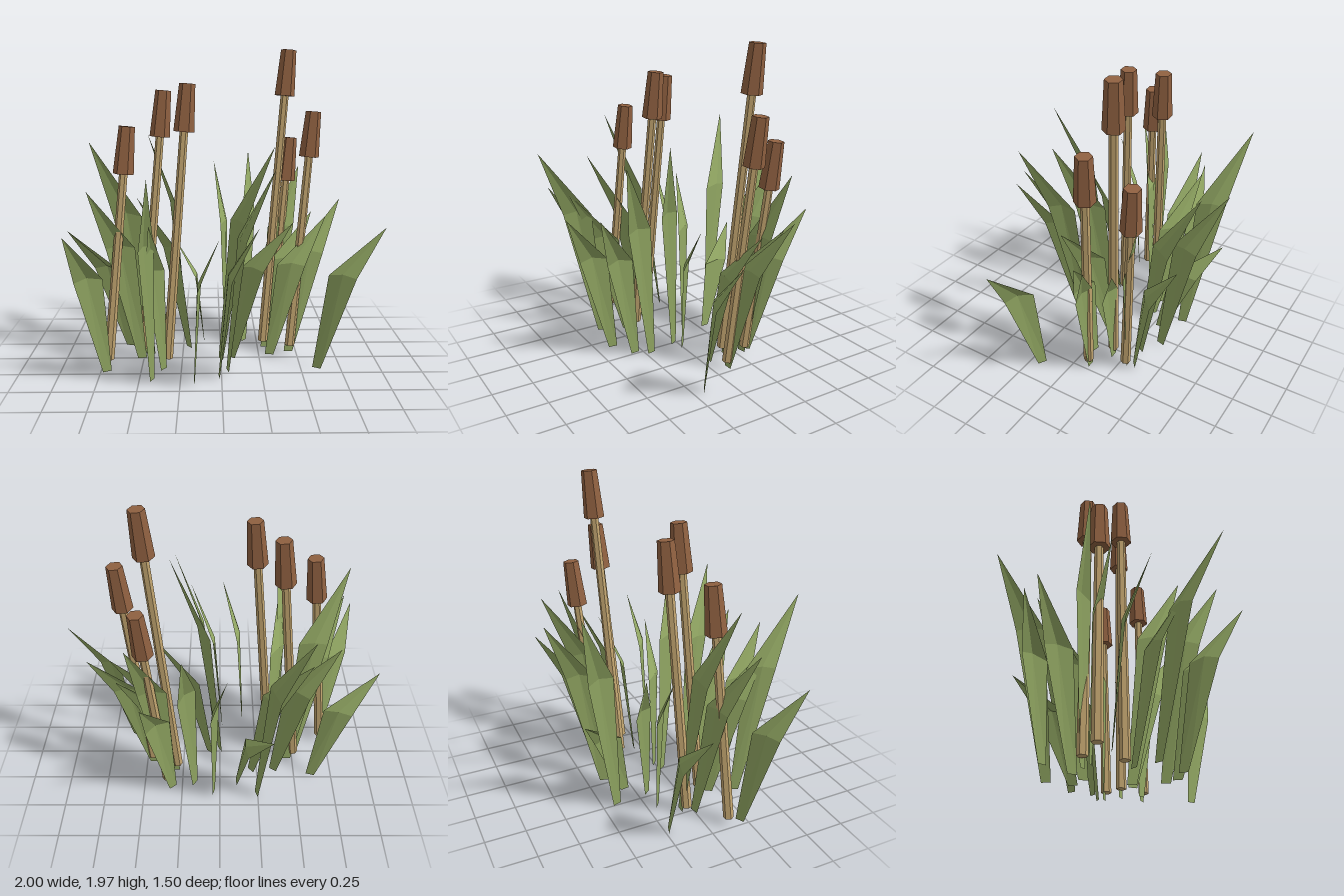
import * as THREE from 'three';

const mat = (name, color, side = THREE.FrontSide) => {
  const m = new THREE.MeshStandardMaterial({ color, side, flatShading: true });
  m.name = name;
  return m;
};

export function createModel() {
  const group = new THREE.Group();
  group.name = 'cattailClump';
  const leafGreen = mat('leafGreen', 0x8fa461, THREE.DoubleSide);
  const stemTan = mat('stemTan', 0xc1a46f);
  const headBrown = mat('headBrown', 0x906141);

  // Six-sided tapered rod between two points
  const rod = (name, a, b, ra, rb, material) => {
    const dir = b.clone().sub(a);
    const geo = new THREE.CylinderGeometry(rb, ra, dir.length(), 6);
    geo.rotateY(Math.PI / 6);
    const mesh = new THREE.Mesh(geo, material);
    mesh.name = name;
    mesh.position.copy(a).add(b).multiplyScalar(0.5);
    mesh.quaternion.setFromUnitVectors(new THREE.Vector3(0, 1, 0), dir.normalize());
    return mesh;
  };

  // Stalks: base x, base z, top x, top y, top z
  const stalks = [
    [0.285, -0.17, 0.438, 1.97, -0.267],
    [0.35, -0.3, 0.468, 1.4, -0.402],
    [0.458, -0.09, 0.594, 1.585, -0.182],
    [-0.505, -0.05, -0.358, 1.72, -0.13],
    [-0.338, 0.12, -0.203, 1.765, 0.024],
    [-0.708, 0.13, -0.57, 1.51, 0.05],
  ];
  for (const [bx, bz, tx, ty, tz] of stalks) {
    const base = new THREE.Vector3(bx, 0.05, bz);
    const top = new THREE.Vector3(tx, ty, tz);
    const neck = top.clone().lerp(base, 0.29 / top.distanceTo(base));
    const stalk = new THREE.Group();
    stalk.name = 'stalk';
    stalk.add(rod('stem', base, neck, 0.032, 0.026, stemTan));
    stalk.add(rod('seedHead', neck, top, 0.064, 0.049, headBrown));
    group.add(stalk);
  }

  // Blade: narrow foot, wide creased middle bent to one side, pointed tip
  const blade = (bx, bz, tx, ty, tz) => {
    const d = new THREE.Vector3(tx - bx, 0, tz - bz);
    const reach = d.length();
    d.normalize();
    const n = new THREE.Vector3(-d.z, 0, d.x);
    const at = (along, y, across) => new THREE.Vector3(bx, y, bz)
      .addScaledVector(d, along).addScaledVector(n, across);
    const my = ty * 0.66, mid = reach * 0.36;
    const foot0 = at(-0.025, 0, -0.013), foot1 = at(0.025, 0, 0.013);
    const inner = at(mid - 0.08, my, -0.024);
    const crease = at(mid, my + 0.02, 0.032);
    const outer = at(mid + 0.08, my, 0.06);
    const tip = at(reach, ty, 0);
    const geo = new THREE.BufferGeometry().setFromPoints([
      foot0, crease, inner, foot0, foot1, crease, foot1, outer, crease,
      inner, crease, tip, crease, outer, tip,
    ]);
    geo.computeVertexNormals();
    const mesh = new THREE.Mesh(geo, leafGreen);
    mesh.name = 'blade';
    return mesh;
  };

  // Blades: foot x, foot z, tip x, tip y, tip z
  const blades = [
    // back
    [-0.24, -0.405, -0.51, 1.405, -0.68],
    [-0.11, -0.3, -0.32, 0.65, -0.625],
    [0.04, -0.385, -0.04, 1.2, -0.75],
    [0.165, -0.305, 0.205, 1.28, -0.685],
    [0.31, -0.34, 0.45, 0.94, -0.68],
    // model's left side
    [0.32, -0.3, 0.54, 1.2, -0.475],
    [0.3, -0.18, 0.62, 0.9, -0.365],
    [0.45, -0.1, 0.795, 1.0, -0.29],
    [0.32, -0.05, 0.685, 0.91, -0.155],
    [0.6, 0.175, 1.0, 0.91, 0.2],
    [0.07, -0.005, 0.445, 0.92, 0.1],
    // front
    [0.0, 0.02, 0.315, 1.405, 0.23],
    [0.04, 0.21, 0.3, 1.31, 0.5],
    [-0.015, 0.3, 0.2, 1.0, 0.62],
    [-0.165, 0.385, -0.02, 0.965, 0.735],
    [-0.42, 0.34, -0.4, 1.29, 0.745],
    [-0.36, 0.18, -0.41, 1.0, 0.55],
    // model's right side
    [-0.71, 0.21, -0.9, 0.925, 0.5],
    [-0.51, 0.0, -0.8, 1.14, 0.24],
    [-0.46, -0.07, -0.795, 1.42, 0.1],
    [-0.61, -0.225, -1.0, 0.815, -0.16],
    [-0.21, -0.185, -0.56, 1.0, -0.34],
    [-0.36, -0.18, -0.73, 1.06, -0.25],
  ];
  for (const b of blades) group.add(blade(...b));
  return group;
}
